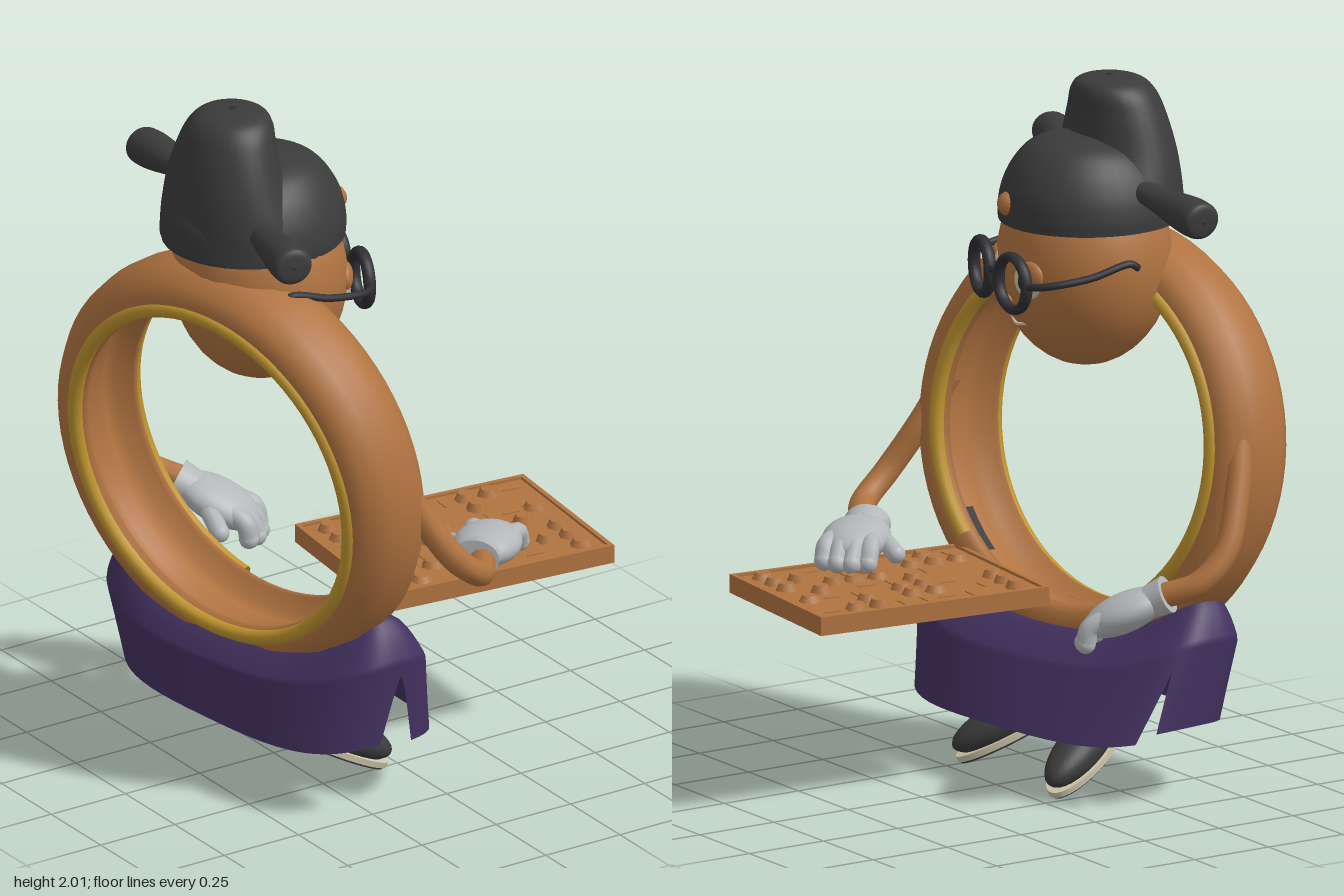
import * as THREE from 'three';
import { ParametricGeometry } from 'three/addons/geometries/ParametricGeometry.js';

const mat = (name, color) => {
  const m = new THREE.MeshStandardMaterial({ color, side: THREE.DoubleSide });
  m.name = name;
  return m;
};
const V = (x, y, z) => new THREE.Vector3(x, y, z);

export function createModel() {
  const M = {
    tan: mat('tan', 0xb07340),
    black: mat('charcoal', 0x3b3b3c),
    frame: mat('spectacleBlack', 0x2f2f34),
    gold: mat('gold', 0xbf942f),
    purple: mat('purple', 0x433160),
    glove: mat('gloveGrey', 0xb4b7ba),
    cream: mat('cream', 0xcdc6ab),
  };
  const root = new THREE.Group();

  const add = (parent, name, geo, m, p = [0, 0, 0], s = [1, 1, 1], r = [0, 0, 0]) => {
    const mesh = new THREE.Mesh(geo, m);
    mesh.name = name;
    mesh.position.set(...p);
    mesh.scale.set(...s);
    mesh.rotation.set(...r);
    parent.add(mesh);
    return mesh;
  };
  const group = (name, p, r = [0, 0, 0], parent = root) => {
    const g = new THREE.Group();
    g.name = name;
    g.position.set(...p);
    g.rotation.set(...r, 'YZX');
    parent.add(g);
    return g;
  };
  const ball = new THREE.SphereGeometry(1, 32, 20);
  const tube = (pts, r) => new THREE.TubeGeometry(
    new THREE.CatmullRomCurve3(pts.map((p) => V(...p))), 28, r, 10);
  const lathe = (pts, ...arc) => new THREE.LatheGeometry(pts.map((p) => new THREE.Vector2(...p)), 72, ...arc);
  // smooth stack of horizontal ellipses, rows of [cx, cy, cz, rx, rz]
  const loft = (rows) => {
    const c = new THREE.CatmullRomCurve3(rows.map((r) => V(r[0], r[1], r[2])), false, 'catmullrom');
    const e = new THREE.CatmullRomCurve3(rows.map((r) => V(r[3], r[4], 0)), false, 'catmullrom');
    return new ParametricGeometry((u, v, t) => {
      const p = c.getPoint(v), q = e.getPoint(v), a = u * Math.PI * 2;
      t.set(p.x + Math.max(q.x, 0.001) * Math.cos(a), p.y, p.z + Math.max(q.y, 0.001) * Math.sin(a));
    }, 36, 28);
  };

  // hoop-shaped body, tilted back and turned a little
  const hoop = group('body', [-0.38, 0.95, 0.03]);
  hoop.quaternion.setFromUnitVectors(V(0, 1, 0), V(0.955, 0.12, -0.26).normalize());
  add(hoop, 'hoop', lathe([[0.505, -0.125], [0.54, -0.135], [0.582, -0.112], [0.612, -0.063], [0.62, 0],
    [0.612, 0.063], [0.582, 0.112], [0.54, 0.135], [0.505, 0.125], [0.485, 0.115], [0.484, 0.095], [0.53, 0.075],
    [0.535, 0.03], [0.52, 0], [0.535, -0.03], [0.53, -0.075], [0.484, -0.095], [0.485, -0.115],
    [0.505, -0.125]]), M.tan);
  const rim = (name, gap, a) => add(hoop, name,
    new THREE.TorusGeometry(0.507, 0.022, 10, 72, Math.PI * 2 - 2 * gap), M.gold,
    [0, a, 0], [1, 1, 1], [Math.PI / 2, 0, gap]);
  rim('backRim', 0, -0.123);
  rim('frontRim', 0.55, 0.123);
  add(hoop, 'innerPatch', lathe([[0.512, 0.03], [0.512, 0.09]], 0.85, 0.28), M.black);

  // head, face and spectacles (local +x is forward)
  const head = group('head', [-0.292, 1.475, -0.01], [0, -0.17, 0]);
  add(head, 'skull', ball, M.tan, [0, 0, 0], [0.245, 0.302, 0.266]);
  add(head, 'nose', ball, M.tan, [0.232, -0.1, 0], [0.028, 0.022, 0.02]);
  add(head, 'mouth', tube([[0.2, -0.157, -0.05], [0.208, -0.167, 0], [0.2, -0.157, 0.05]], 0.005), M.cream);
  for (const s of [-1, 1]) {
    const eye = group('eye', [0.217, -0.02, s * 0.1], [0, -s * 0.38, 0], head);
    add(eye, 'eyeWhite', ball, M.cream, [0, 0, 0], [0.02, 0.052, 0.052]);
    add(eye, 'eyelid', ball, M.tan, [0.002, 0.018, s * 0.014], [0.022, 0.042, 0.046]);
    add(eye, 'pupil', ball, M.frame, [0.012, -0.002, -s * 0.006], [0.014, 0.026, 0.02]);
    add(head, 'lensRim', new THREE.TorusGeometry(0.076, 0.014, 10, 36), M.frame,
      [0.268, -0.02, s * 0.105], [1, 1, 1.3], [0, Math.PI / 2 - s * 0.12, 0]);
    add(head, 'temple', tube([[0.262, -0.015, s * 0.18], [0.225, -0.005, s * 0.235], [0.1, 0.015, s * 0.268],
      [-0.02, 0.045, s * 0.272], [-0.045, 0.03, s * 0.268]], 0.011), M.frame);
  }
  add(head, 'bridge', tube([[0.272, -0.015, -0.034], [0.28, -0.003, 0], [0.272, -0.015, 0.034]], 0.011), M.frame);

  // hat: front dome, tall back crown, two side wings and a bead
  const hat = group('hat', [0, 0, 0]);
  add(hat, 'hatDome', loft([[-0.305, 1.6, -0.02, 0.264, 0.25],
    [-0.305, 1.64, -0.02, 0.266, 0.249], [-0.305, 1.7, -0.02, 0.258, 0.234], [-0.3, 1.765, -0.02, 0.222, 0.2],
    [-0.285, 1.815, -0.02, 0.16, 0.15], [-0.27, 1.84, -0.02, 0.08, 0.08], [-0.27, 1.845, -0.02, 0, 0]]), M.black);
  add(hat, 'hatCrown', loft([[-0.36, 1.61, -0.02, 0.208, 0.24], [-0.38, 1.7, -0.02, 0.178, 0.23],
    [-0.397, 1.8, -0.02, 0.147, 0.198], [-0.392, 1.9, -0.02, 0.127, 0.16], [-0.38, 1.96, -0.02, 0.112, 0.128],
    [-0.372, 1.99, -0.02, 0.08, 0.085], [-0.372, 2.0, -0.02, 0, 0]]), M.black);
  const wing = loft([[0, 0, 0, 0.035, 0.028], [0, 0.12, 0, 0.046, 0.036], [0, 0.24, 0, 0.056, 0.052],
    [0, 0.3, 0, 0.058, 0.055], [0, 0.335, 0, 0.05, 0.046], [0, 0.342, 0, 0, 0]]);
  for (const [from, to] of [[V(-0.345, 1.71, -0.2), V(-0.34, 1.685, -0.54)],
    [V(-0.4, 1.695, 0.14), V(-0.49, 1.72, 0.46)]]) {
    const w = add(hat, 'hatWing', wing, M.black, from.toArray());
    w.quaternion.setFromUnitVectors(V(0, 1, 0), to.sub(from).normalize());
  }
  add(hat, 'hatBead', new THREE.SphereGeometry(0.037, 10, 8), M.tan, [-0.06, 1.66, 0.02]);

  // arms
  add(root, 'leftArm', tube([[-0.2, 1.03, 0.54], [-0.13, 0.9, 0.57], [-0.04, 0.76, 0.61],
    [0.05, 0.69, 0.59], [0.14, 0.66, 0.47]], 0.038), M.tan);
  add(root, 'rightArm', tube([[-0.47, 1.03, -0.53], [-0.43, 0.9, -0.575], [-0.36, 0.74, -0.615],
    [-0.28, 0.66, -0.6], [-0.2, 0.62, -0.53]], 0.036), M.tan);

  // gloves: fingers along local +x, thumb on side s
  const glove = (name, p, r, s) => {
    const g = group(name, p, r);
    add(g, 'cuff', new THREE.CylinderGeometry(0.058, 0.068, 0.06, 20), M.glove,
      [-0.12, 0, 0], [0.8, 1, 1], [0, 0, -Math.PI / 2]);
    add(g, 'palm', ball, M.glove, [-0.015, 0, 0], [0.13, 0.056, 0.096]);
    for (let i = 0; i < 4; i++) {
      const z = (i - 1.5) * 0.042, reach = i === 0 || i === 3 ? 0.11 : 0.125;
      add(g, 'finger', tube([[0.02, 0.012, z * 0.8], [0.08, 0.006, z], [reach, -0.03, z]], 0.028), M.glove);
      add(g, 'fingertip', ball, M.glove, [reach, -0.03, z], [0.028, 0.028, 0.028]);
    }
    add(g, 'thumb', tube([[-0.06, 0, s * 0.04], [-0.01, -0.01, s * 0.09], [0.03, -0.025, s * 0.125]], 0.027), M.glove);
    add(g, 'thumbTip', ball, M.glove, [0.03, -0.025, s * 0.125], [0.027, 0.027, 0.027]);
  };
  glove('leftHand', [0.235, 0.655, 0.36], [0, 0.74, -0.08], -1);
  glove('rightHand', [-0.125, 0.56, -0.44], [0, -0.8, -0.45], 1);

  // game board with raised edge, scored ridges and pieces
  const board = group('board', [0.262, 0, 0.146], [0, -0.1, 0]);
  add(board, 'boardSlab', new THREE.BoxGeometry(0.725, 0.046, 0.545), M.tan, [0, 0.556, 0]);
  for (const s of [-1, 1]) {
    add(board, 'boardEdge', new THREE.BoxGeometry(0.725, 0.01, 0.014), M.tan, [0, 0.582, s * 0.2655]);
    add(board, 'boardEdge', new THREE.BoxGeometry(0.014, 0.01, 0.545), M.tan, [s * 0.3555, 0.582, 0]);
  }
  let seed = 7;
  const rand = () => (seed = (seed * 16807) % 2147483647) / 2147483647;
  const piece = new THREE.CylinderGeometry(0.022, 0.033, 0.022, 7);
  for (let i = 0; i < 9; i++) {
    for (let j = 0; j < 7; j++) {
      const x = -0.29 + i * 0.0725, z = -0.21 + j * 0.07;
      if (rand() < 0.4) {
        add(board, 'piece', piece, M.tan, [x, 0.588, z], [1, 0.7 + rand() * 0.6, 1], [0, rand() * 3, 0]);
      } else if (rand() < 0.5) {
        add(board, 'ridge', new THREE.BoxGeometry(0.05, 0.004, 0.006), M.tan,
          [x, 0.58, z], [1, 1, 1], [0, rand() < 0.5 ? 0 : Math.PI / 2, 0]);
      }
    }
  }

  // robe skirt: two panels over angles a0..a1, narrow slits between, top follows the hoop
  const skirt = group('skirt', [-0.25, 0, 0.015], [0, 0.12, 0]);
  const soft = (k) => Math.sign(k) * Math.pow(Math.abs(k), 0.7);
  const panel = (a0, a1, hem) => new ParametricGeometry((u, v, t) => {
    const slit = 0.11 * Math.max(0, (v - 0.45) / 0.55);
    const a = a0 + slit + (a1 - a0 - 2 * slit) * u, sn = Math.sin(a), cs = Math.cos(a);
    const puff = Math.min(1, Math.sqrt(v * 3));
    const w = 0.43 + 0.105 * puff - 0.02 * v;
    const d = 0.09 + 0.1 * puff + 0.075 * v;
    const top = 0.44 + 0.135 * sn * sn, low = hem + 0.03 * sn ** 4;
    const z = w * soft(sn);
    t.set(d * soft(cs) + (0.15 * z - 0.06) * (1 - v), top + (low - top) * v, z);
  }, 60, 20);
  add(skirt, 'frontPanel', panel(-1.2, 1.57, 0.165), M.purple);
  add(skirt, 'backPanel', panel(1.57, Math.PI * 2 - 1.2, 0.185), M.purple);

  // legs and shoes, toes down and turned out
  for (const s of [-1, 1]) {
    add(root, 'leg', new THREE.CylinderGeometry(0.075, 0.06, 0.2, 18), M.black, [-0.25, 0.28, 0.015 + s * 0.13]);
    const shoe = group('shoe', [-0.175, 0.107, 0.015 + s * 0.185], [0, -s * 0.4, -0.45]);
    add(shoe, 'shoeUpper', ball, M.black, [0, 0.005, 0], [0.174, 0.058, 0.068]);
    add(shoe, 'shoeHeel', ball, M.black, [-0.085, 0.03, 0], [0.085, 0.06, 0.056]);
    add(shoe, 'sole', new THREE.CylinderGeometry(1, 1, 0.018, 32), M.cream, [0, -0.032, 0], [0.178, 1, 0.07]);
    add(shoe, 'tread', new THREE.CylinderGeometry(1, 1, 0.008, 32), M.black, [0, -0.044, 0], [0.172, 1, 0.064]);
    add(shoe, 'sock', ball, M.glove, [-0.04, 0.058, 0], [0.066, 0.046, 0.044]);
  }
  return root;
}
